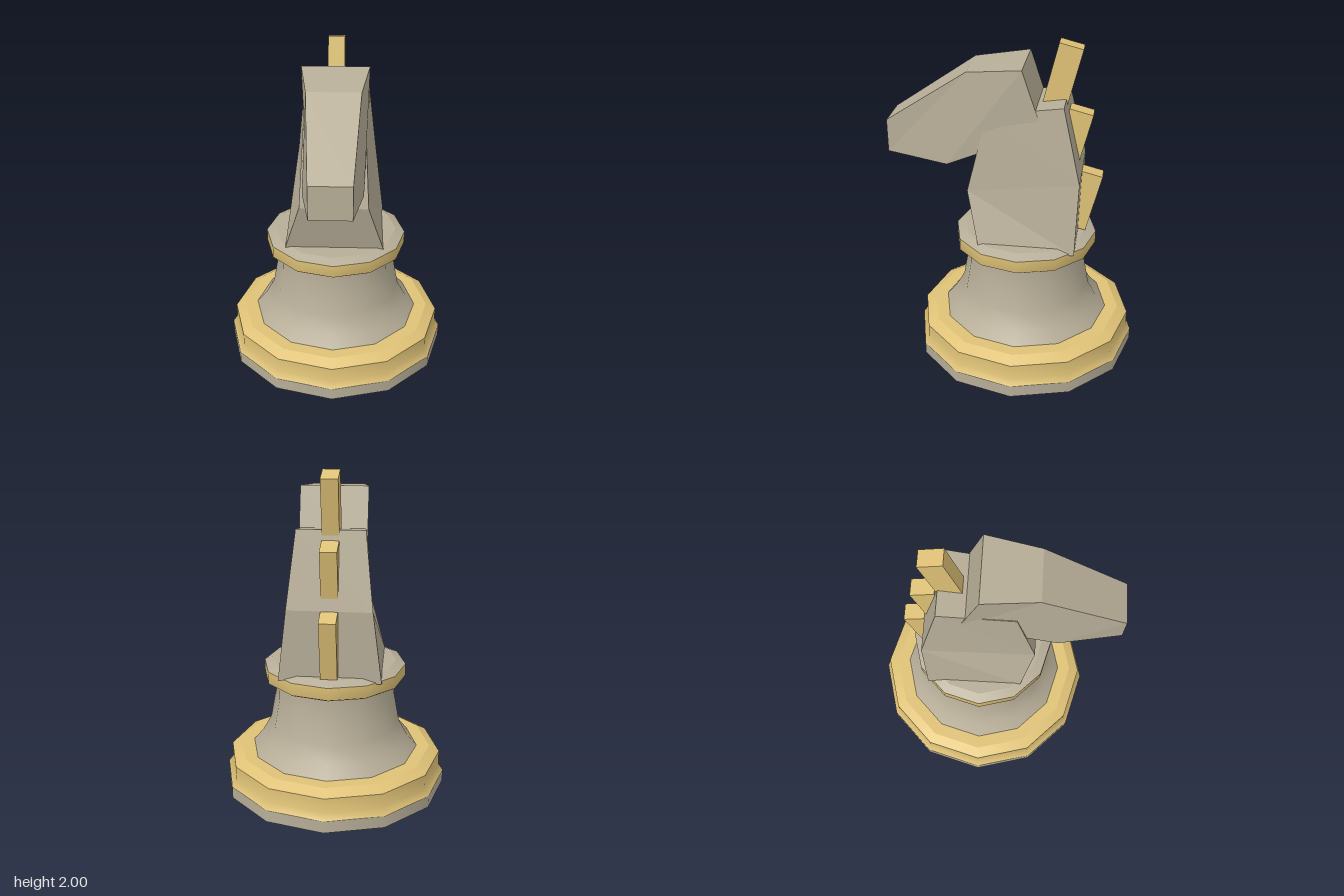
import * as THREE from 'three';

const SIDES = 12;

// Each strip is a separate lathe so that the edges between strips stay sharp.
function turned(name, strips, material) {
  const group = new THREE.Group();
  group.name = name;
  strips.forEach((strip, i) => {
    const points = strip.map(([r, y]) => new THREE.Vector2(r, y));
    const mesh = new THREE.Mesh(new THREE.LatheGeometry(points, SIDES), material);
    mesh.name = `${name}Strip${i + 1}`;
    group.add(mesh);
  });
  return group;
}

// Lofts mirrored four-cornered sections, each given by two [x, y, z] corners on the left side.
function loft(name, sections, material) {
  const loops = sections.map(([p, q]) => [p, q, [-q[0], q[1], q[2]], [-p[0], p[1], p[2]]]);
  const pos = [];
  const quad = (a, b, c, d) => pos.push(...a, ...b, ...c, ...a, ...c, ...d);
  for (let s = 0; s < loops.length - 1; s++) {
    const a = loops[s], b = loops[s + 1];
    for (let i = 0; i < 4; i++) {
      const j = (i + 1) % 4;
      quad(a[i], b[i], b[j], a[j]);
    }
  }
  quad(...loops[0]);
  quad(...[...loops[loops.length - 1]].reverse());
  const geometry = new THREE.BufferGeometry();
  geometry.setAttribute('position', new THREE.Float32BufferAttribute(pos, 3));
  geometry.computeVertexNormals();
  const mesh = new THREE.Mesh(geometry, material);
  mesh.name = name;
  return mesh;
}

export function createModel() {
  const stone = new THREE.MeshStandardMaterial({ color: 0xb7ae98 });
  stone.name = 'stone';
  const gold = new THREE.MeshStandardMaterial({ color: 0xdfc277 });
  gold.name = 'gold';

  const model = new THREE.Group();
  model.name = 'chessKnight';

  // Turned pedestal
  const pedestal = new THREE.Group();
  pedestal.name = 'pedestal';
  pedestal.position.z = -0.063;
  pedestal.add(
    turned('foot', [
      [[0, 0], [0.692, 0]],
      [[0.692, 0], [0.692, 0.075]],
    ], stone),
    turned('footBand', [
      [[0.692, 0.075], [0.664, 0.115], [0.664, 0.205]],
      [[0.664, 0.205], [0.6, 0.24]],
      [[0.6, 0.24], [0.5, 0.24]],
    ], gold),
    turned('stem', [
      [[0.52, 0.24], [0.46, 0.31], [0.405, 0.41], [0.37, 0.6], [0.37, 0.71]],
    ], stone),
    turned('collar', [
      [[0.36, 0.703], [0.42, 0.703]],
      [[0.42, 0.703], [0.438, 0.715], [0.438, 0.79]],
    ], gold),
    turned('collarCap', [
      [[0.438, 0.79], [0.38, 0.815]],
      [[0.38, 0.815], [0, 0.815]],
    ], stone),
  );
  model.add(pedestal);

  // Neck: back and front corners, from bottom to top
  model.add(loft('neck', [
    [[0.305, 0.78, -0.39], [0.3, 0.805, 0.19]],
    [[0.25, 1.22, -0.405], [0.205, 1.12, 0.265]],
    [[0.2, 1.67, -0.3], [0.18, 1.6, 0.145]],
  ], stone));

  // Head: upper and lower corners, from rear to muzzle
  model.add(loft('head', [
    [[0.2, 1.88, -0.06], [0.2, 1.52, -0.18]],
    [[0.155, 1.84, 0.265], [0.175, 1.27, 0.39]],
    [[0.12, 1.51, 0.757], [0.12, 1.31, 0.757]],
  ], stone));

  // Mane: three tilted blocks stepping down the back
  const tuft = new THREE.BoxGeometry(0.1, 0.38, 0.143);
  for (let i = 0; i < 3; i++) {
    const mesh = new THREE.Mesh(tuft, gold);
    mesh.name = `maneBlock${i + 1}`;
    mesh.position.set(0, 1.8 - 0.39 * i, -0.274 - 0.07 * i);
    mesh.rotation.x = -0.245;
    model.add(mesh);
  }

  return model;
}
